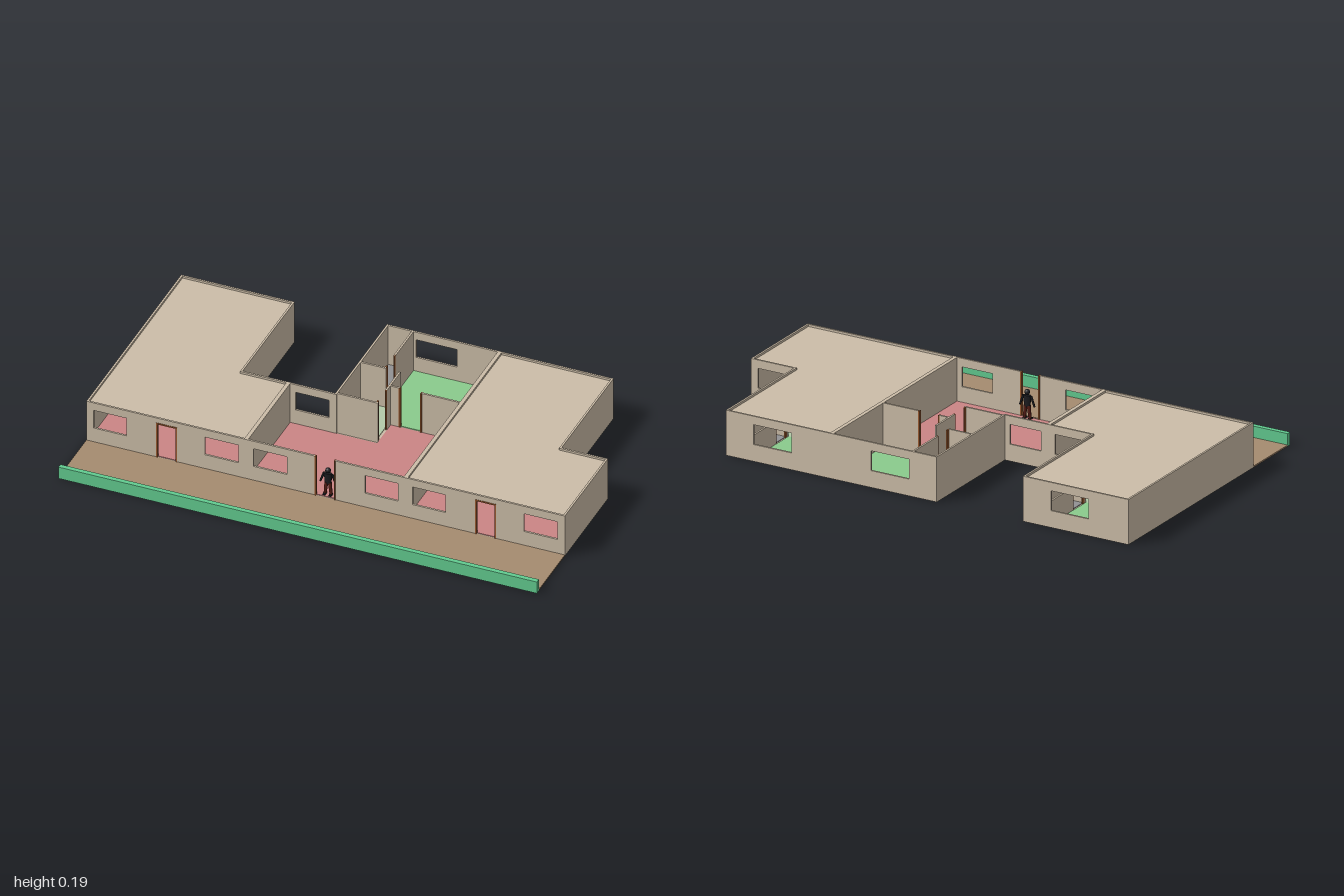
import * as THREE from 'three';

const T = 0.008;      // wall thickness
const FLOOR = 0.006;  // top of the floor finish
const HALF = 1 / 3;   // half the width of one dwelling
const BACK = -0.605, STEP = -0.095, FRONT = 0.33, WING = -0.14;

const paint = (color, side = THREE.FrontSide) => new THREE.MeshStandardMaterial({ color, side });
const mats = {
  wall: paint(0xccbda8), living: paint(0xcb8585), bedroom: paint(0x8acb8c),
  hall: paint(0xb3caa8), bath: paint(0x929294), yard: paint(0xa58b6f),
  hedge: paint(0x62cb90), frame: paint(0x9a5a30), dark: paint(0x1c1c20), trousers: paint(0x5a2018),
};

function add(parent, name, geometry, material) {
  const mesh = new THREE.Mesh(geometry, material);
  mesh.name = name;
  parent.add(mesh);
  return mesh;
}

// Box between two corners, given in any order
function box(parent, name, mat, x0, x1, y0, y1, z0, z1) {
  const g = new THREE.BoxGeometry(Math.abs(x1 - x0), y1 - y0, Math.abs(z1 - z0));
  g.translate((x0 + x1) / 2, (y0 + y1) / 2, (z0 + z1) / 2);
  return add(parent, name, g, mat);
}

// Upright panel from a to b along its run; openings are [from, to, bottom, top]
function panel(a, b, h, openings) {
  const s = new THREE.Shape();
  s.moveTo(a, 0);
  openings.filter(o => o[2] === 0).sort((p, q) => p[0] - q[0]).forEach(([p, q, , top]) => {
    s.lineTo(p, 0); s.lineTo(p, top); s.lineTo(q, top); s.lineTo(q, 0);
  });
  s.lineTo(b, 0); s.lineTo(b, h); s.lineTo(a, h);
  s.closePath();
  for (const [p, q, y0, y1] of openings) {
    if (y0 === 0) continue;
    const hole = new THREE.Path();
    hole.moveTo(p, y0); hole.lineTo(p, y1); hole.lineTo(q, y1); hole.lineTo(q, y0);
    hole.closePath();
    s.holes.push(hole);
  }
  return new THREE.ExtrudeGeometry(s, { depth: T, bevelEnabled: false });
}

// One dwelling; mx maps the plan's x to its place in the row
function dwelling(name, mx, roofed) {
  const g = new THREE.Group();
  g.name = name;
  const H = 0.187;
  const inner = roofed ? 0.1 : H;    // partitions are low under a roof
  const doorTop = roofed ? 0.165 : H;

  // Wall along x, with its back face at z
  const wallX = (n, a, b, z, h = H, openings = []) => {
    const full = openings.filter(o => o[2] === 0 && o[3] >= h);
    let start = a;
    for (const o of [...full, [b, b]]) {
      const lo = start, hi = o[0];
      const own = openings.filter(p => !full.includes(p) && p[0] >= lo && p[1] <= hi)
        .map(([p, q, y0, y1]) => [Math.min(mx(p), mx(q)), Math.max(mx(p), mx(q)), y0, y1]);
      const geo = panel(Math.min(mx(lo), mx(hi)), Math.max(mx(lo), mx(hi)), h, own);
      geo.translate(0, 0, z);
      add(g, n, geo, mats.wall);
      start = o[1];
    }
  };
  // Wall along z
  const wallZ = (n, x, z0, z1, h = H) => box(g, n, mats.wall, mx(x), mx(x + T), 0, h, z0, z1);
  const floor = (n, mat, x0, x1, z0, z1) => box(g, n, mat, mx(x0), mx(x1), 0.003, FLOOR, z0, z1);
  const post = (x, z, h) => box(g, 'doorPost', mats.frame, mx(x - 0.003), mx(x + 0.003), FLOOR, h, z - 0.006, z + 0.006);

  // Base slabs
  box(g, 'livingBase', mats.wall, mx(-HALF), mx(HALF), 0, 0.003, STEP, FRONT);
  box(g, 'wingBase', mats.wall, mx(WING), mx(HALF), 0, 0.003, BACK, STEP);

  // Room floors
  floor('livingFloor', mats.living, -HALF + T, HALF - T, STEP + T, FRONT - T);
  floor('livingFloorRear', mats.living, 0.038, HALF - T, -0.222, STEP + T);
  floor('hallFloor', mats.hall, WING + T, 0.026, -0.325, STEP - T);
  floor('bathFloor', mats.bath, WING + T, -0.034, BACK + T, -0.333);
  floor('bedroomFloor', mats.bedroom, -0.026, HALF - T, BACK + T, -0.325);
  floor('bedroomFloorFront', mats.bedroom, 0.038, HALF - T, -0.325, -0.23);

  // Outer walls
  wallX('frontWall', -HALF, HALF, FRONT - T, H,
    [[-0.302, -0.162, 0.07, 0.152], [-0.045, 0.04, 0, doorTop], [0.165, 0.303, 0.07, 0.152]]);
  wallX('terraceWall', -HALF, WING, STEP, H, [[-0.302, -0.162, 0.07, 0.152]]);
  wallX('rearWall', WING, HALF, BACK, H, [[-0.015, 0.155, 0.07, 0.152]]);
  wallZ('livingSideWall', -HALF, STEP + T, FRONT - T);
  wallZ('partyWall', HALF - T, BACK + T, FRONT - T);
  wallZ('wingSideWall', WING, BACK + T, STEP + T);

  // Partitions with gaps for the inner doors
  wallX('hallFrontWall', WING + T, 0.038, STEP - T, inner);
  wallX('bathHallWall', WING + T, -0.026, -0.333, inner);
  wallZ('bathWall', -0.034, BACK + T, -0.42, inner);
  wallZ('hallWall', 0.028, -0.325, -0.19, inner);
  wallX('bedroomWall', 0.036, 0.075, -0.23, inner);
  wallX('bedroomWall', 0.165, HALF - T, -0.23, inner);

  // Door frames
  for (const [x, z] of [[-0.03, -0.42], [-0.03, -0.34], [0.032, -0.19], [0.032, -0.108], [0.075, -0.226], [0.165, -0.226]])
    post(x, z, inner);
  for (const x of [-0.043, 0.038]) post(x, FRONT - T / 2, doorTop);
  if (roofed) box(g, 'doorHead', mats.frame, mx(-0.045), mx(0.04), doorTop - 0.006, doorTop, FRONT - 0.01, FRONT + 0.002);

  // Flat roof just below the wall tops
  if (roofed) {
    box(g, 'livingRoof', mats.wall, mx(-HALF + T), mx(HALF - T), 0.172, 0.178, STEP + T, FRONT - T);
    box(g, 'wingRoof', mats.wall, mx(WING + T), mx(HALF - T), 0.172, 0.178, BACK + T, STEP + T);
  }
  return g;
}

// Small standing figure in the open doorway
function figure() {
  const g = new THREE.Group();
  g.name = 'figure';
  for (const s of [-1, 1]) {
    const leg = add(g, 'leg', new THREE.CylinderGeometry(0.008, 0.006, 0.056, 8), mats.trousers);
    leg.position.set(s * 0.01, 0.028, 0);
    leg.rotation.z = s * 0.1;
    const arm = add(g, 'arm', new THREE.CylinderGeometry(0.005, 0.004, 0.045, 8), mats.dark);
    arm.position.set(s * 0.025, 0.075, 0);
    arm.rotation.z = s * 0.35;
    box(g, 'shoe', mats.dark, s * 0.007, s * 0.018, 0, 0.005, -0.006, 0.014);
  }
  const torso = add(g, 'torso', new THREE.CylinderGeometry(0.018, 0.013, 0.048, 10), mats.dark);
  torso.scale.z = 0.55;
  torso.position.y = 0.074;
  add(g, 'head', new THREE.SphereGeometry(0.0115, 12, 8), mats.dark).position.y = 0.111;
  g.position.set(0, FLOOR, 0.305);
  return g;
}

export function createModel() {
  const model = new THREE.Group();
  model.name = 'terraceHouses';
  model.add(
    dwelling('middleDwelling', x => x, false),
    dwelling('leftDwelling', x => 2 * HALF - x, true),
    dwelling('rightDwelling', x => -2 * HALF - x, true),
    figure(),
  );
  // Front yard and hedge
  box(model, 'yard', mats.yard, -1, 1, 0, FLOOR, FRONT, 0.585);
  box(model, 'hedge', mats.hedge, -1, 1, 0, 0.053, 0.585, 0.605);
  return model;
}
